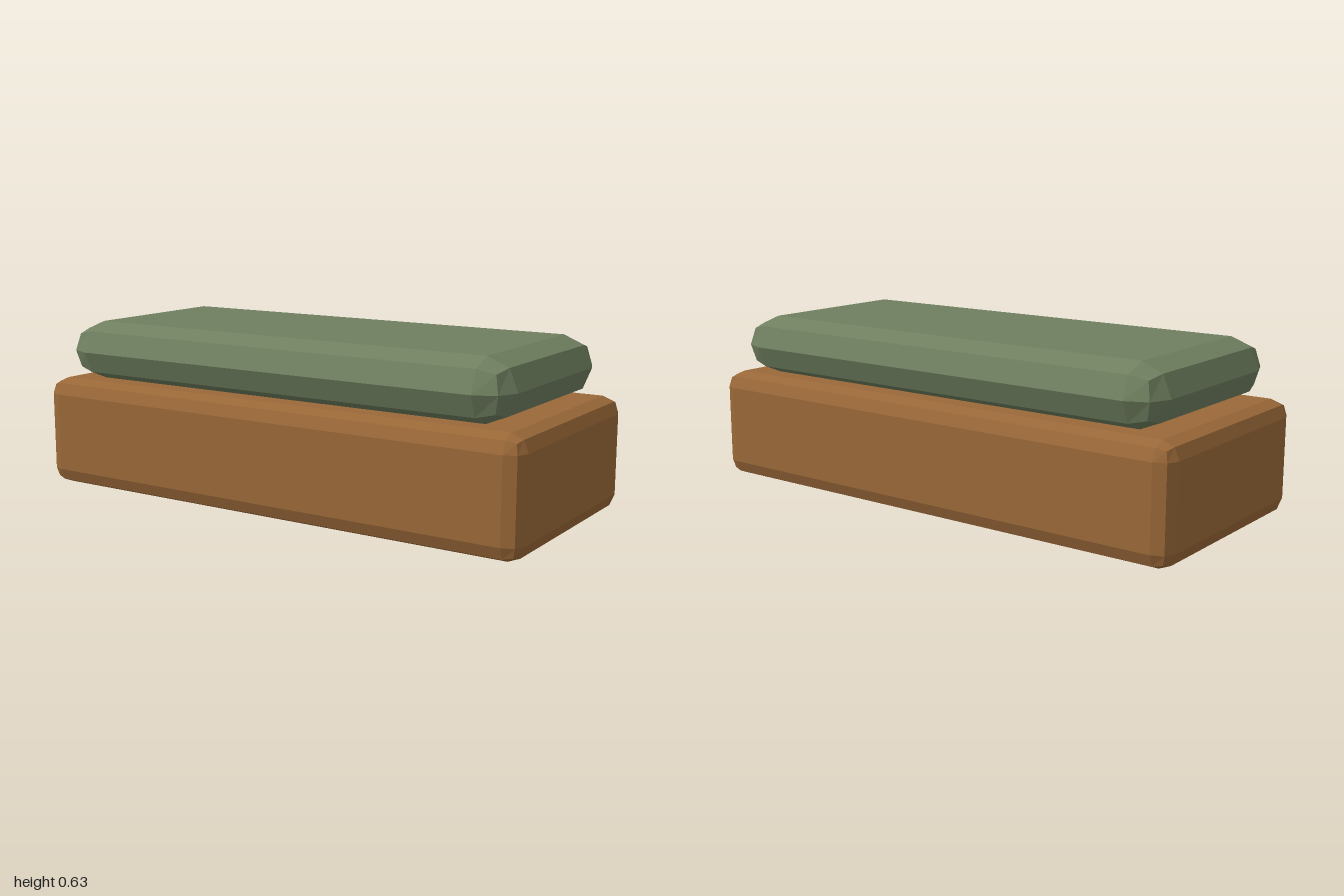
import * as THREE from 'three';
import { RoundedBoxGeometry } from 'three/addons/geometries/RoundedBoxGeometry.js';

const wood = new THREE.MeshStandardMaterial({ name: 'warm wood', color: 0x9a6838, flatShading: true });
const fabric = new THREE.MeshStandardMaterial({ name: 'sage fabric', color: 0x6f7f5f, flatShading: true });

// Box with faceted rounded edges, standing on the given height
function roundedBlock(name, width, height, depth, radius, bottom, material) {
  const geometry = new RoundedBoxGeometry(width, height, depth, 1, radius);
  geometry.computeVertexNormals(); // one normal per facet
  const mesh = new THREE.Mesh(geometry, material);
  mesh.name = name;
  mesh.position.y = bottom + height / 2;
  return mesh;
}

export function createModel() {
  const model = new THREE.Group();
  model.name = 'cushionedBench';

  // Solid bench base
  const baseHeight = 0.415;
  model.add(roundedBlock('base', 2, baseHeight, 0.88, 0.06, 0, wood));

  // Seat cushion with fully rounded rim, resting on the base
  model.add(roundedBlock('cushion', 1.85, 0.22, 0.83, 0.11, baseHeight, fabric));

  return model;
}
